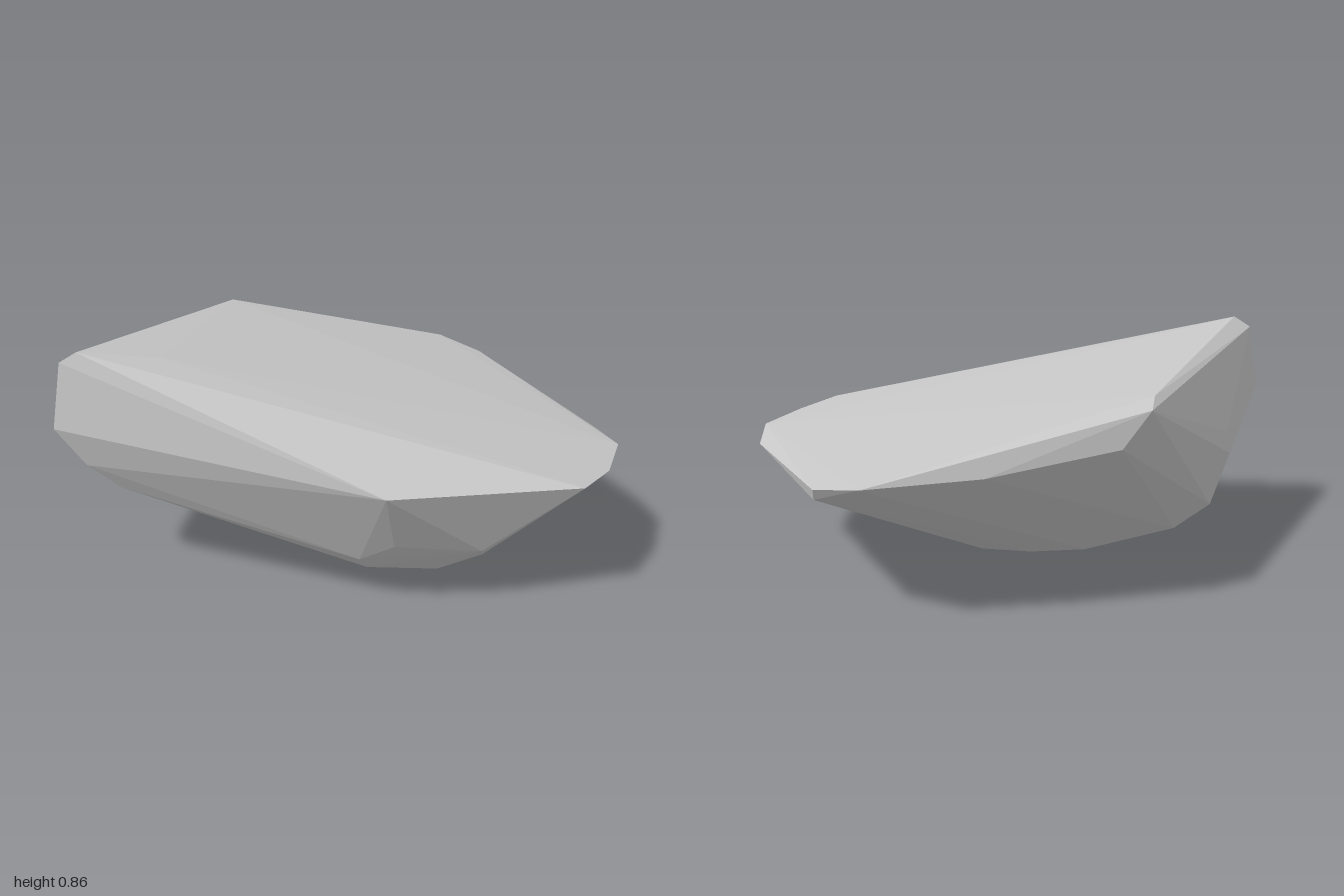
import * as THREE from 'three';
import { ConvexGeometry } from 'three/addons/geometries/ConvexGeometry.js';

// Faceted boulder: the convex hull of a few rings of corner points
export function createModel() {
  const stone = new THREE.MeshStandardMaterial({ color: 0xc6c6c6, flatShading: true });
  stone.name = 'grey stone';

  // Sloping top
  const top = [
    [-0.9, 0.86, 0.23], [-0.96, 0.82, 0.21], [-0.62, 0.81, 0.19],
    [-0.3, 0.74, -0.69], [-0.27, 0.71, -0.77], [0.04, 0.51, 0.79],
    [0.71, 0.48, 0.76], [0.86, 0.46, 0.61], [0.99, 0.45, 0.39], [0.78, 0.465, -0.63],
  ];
  // Widest rim
  const rim = [
    [-1, 0.58, 0.21], [-0.7, 0.51, -0.28], [-0.71, 0.43, -0.29], [-0.175, 0.59, -0.778],
    [0.26, 0.52, -0.79], [0.64, 0.5, -0.78], [0.78, 0.42, -0.59], [1, 0.42, 0.18],
    [-0.9, 0.44, 0.22],
  ];
  // Tapering flanks
  const flanks = [
    [0.1, 0.27, 0.67], [0.4, 0.23, 0.68], [0, 0.18, 0.58], [0.04, 0.11, 0.52],
    [0.44, 0.15, 0.57], [0.65, 0.18, 0.44], [-0.79, 0.345, 0.22],
    [-0.63, 0.35, -0.325], [-0.57, 0.31, -0.345], [-0.49, 0.255, -0.345], [-0.635, 0.245, -0.31],
  ];
  // Small worn underside
  const base = [
    [-0.54, 0.17, -0.17], [-0.5, 0.16, -0.31], [-0.18, 0.075, -0.25], [0, 0.03, -0.12],
    [0.17, 0.01, 0], [0, 0.03, 0.25], [0.2, 0, 0.32], [0.3, 0.065, 0.5], [0.48, 0.08, 0.43],
  ];

  const points = [...top, ...rim, ...flanks, ...base].map((p) => new THREE.Vector3(...p));
  const boulder = new THREE.Mesh(new ConvexGeometry(points), stone);
  boulder.name = 'boulder';

  const group = new THREE.Group();
  group.name = 'rock';
  group.add(boulder);
  return group;
}
